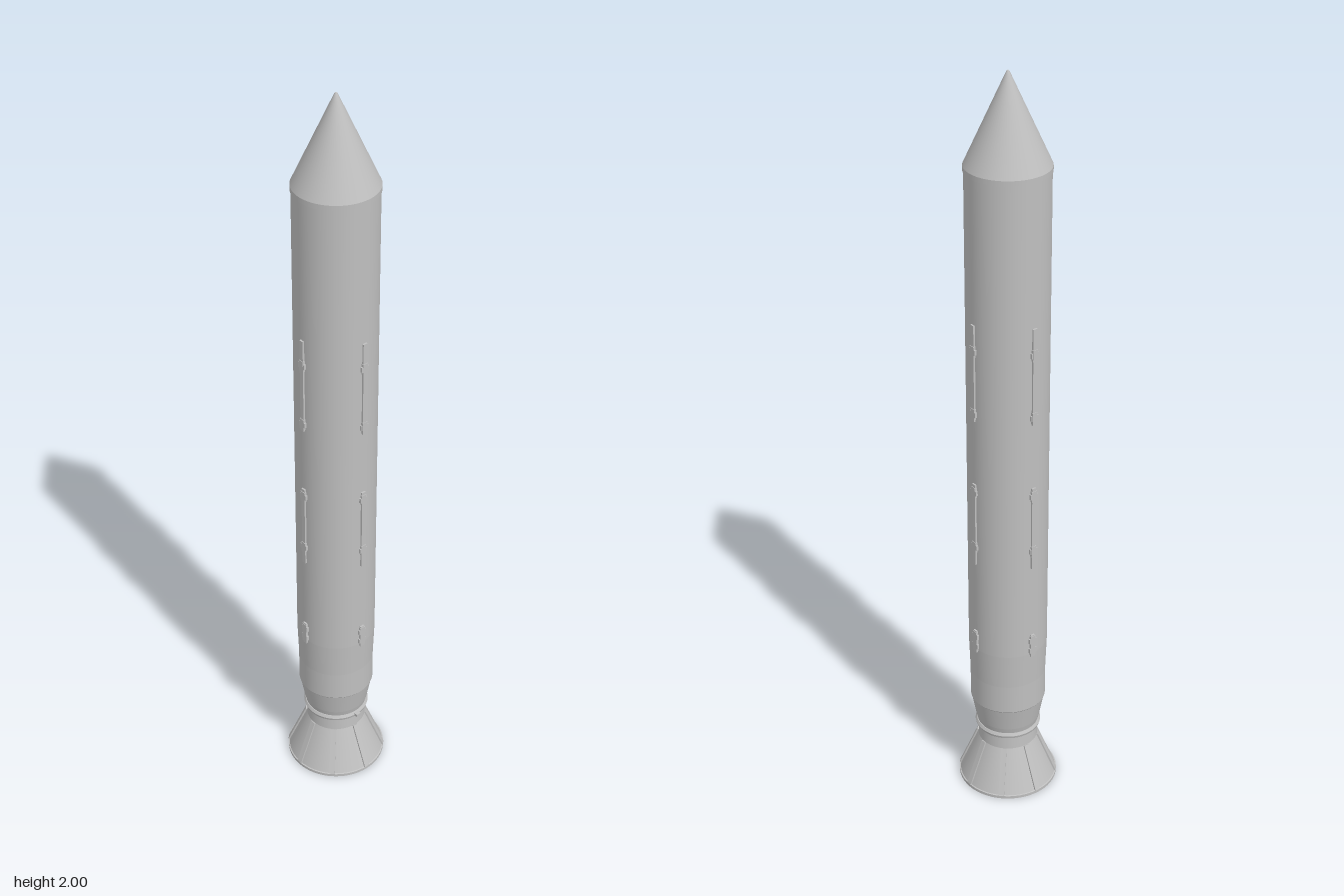
import * as THREE from 'three';
import { mergeGeometries } from 'three/addons/utils/BufferGeometryUtils.js';

export function createModel() {
  const model = new THREE.Group();
  model.name = 'rocket';
  const grey = new THREE.MeshStandardMaterial({ color: 0xbfbfbf });
  grey.name = 'grey metal';

  function add(parent, name, geometry, x = 0, y = 0, z = 0) {
    const mesh = new THREE.Mesh(geometry, grey);
    mesh.name = name;
    mesh.position.set(x, y, z);
    parent.add(mesh);
    return mesh;
  }

  // Turned part with a sharp edge at every profile point
  function turned(name, profile) {
    const bands = [];
    for (let i = 0; i < profile.length - 1; i++) {
      const pair = [profile[i], profile[i + 1]].map(([r, y]) => new THREE.Vector2(r, y));
      bands.push(new THREE.LatheGeometry(pair, 64));
    }
    return add(model, name, mergeGeometries(bands));
  }

  // Hollow engine bell with rim and neck
  turned('engineBell', [
    [0, 0.15], [0.07, 0.15], [0.124, 0], [0.133, 0], [0.133, 0.008],
    [0.13, 0.009], [0.08, 0.13], [0.077, 0.17],
  ]);

  // Clamp ring above the bell, with a small nub on the left
  turned('neckRing', [[0.075, 0.168], [0.086, 0.17], [0.088, 0.177], [0.084, 0.184], [0.075, 0.184]]);
  add(model, 'ringNub', new THREE.BoxGeometry(0.018, 0.008, 0.014), 0.088, 0.178, 0);

  // Tapered tail and long body
  turned('tailSection', [[0.082, 0.184], [0.086, 0.2], [0.098, 0.265], [0.1, 0.265]]);
  turned('body', [[0.098, 0.265], [0.1, 0.268], [0.1, 0.35], [0.1035, 0.45], [0.1035, 1.762]]);

  // Nose cone with a thin overhanging lip and a blunted tip
  turned('noseCone', [
    [0.1, 1.76], [0.1055, 1.762], [0.1055, 1.775], [0.006, 1.992], [0.003, 1.998], [0, 2],
  ]);

  // Eight ribs lying along the bell wall
  const [r0, y0, r1, y1] = [0.131, 0.009, 0.081, 0.13];
  const ribLength = Math.hypot(r0 - r1, y1 - y0);
  for (let i = 0; i < 8; i++) {
    const spoke = new THREE.Group();
    spoke.name = 'bellRib' + (i + 1);
    spoke.rotation.y = i * Math.PI / 4;
    const rib = add(spoke, 'rib', new THREE.BoxGeometry(0.015, ribLength, 0.006),
      0, (y0 + y1) / 2, (r0 + r1) / 2);
    rib.rotation.x = -Math.atan2(r0 - r1, y1 - y0);
    model.add(spoke);
  }

  // Four columns of conduits: bottom, top, clamp heights
  const conduits = [
    [1.135, 1.395, [1.155, 1.325]],
    [0.718, 0.955, [0.77, 0.932]],
    [0.442, 0.51, [0.462, 0.492]],
  ];
  for (let side = 0; side < 4; side++) {
    const column = new THREE.Group();
    column.name = 'conduitColumn' + (side + 1);
    column.rotation.y = side * Math.PI / 2;
    for (const [bottom, top, clamps] of conduits) {
      add(column, 'conduit', new THREE.BoxGeometry(0.012, top - bottom, 0.008),
        0, (bottom + top) / 2, 0.104);
      for (const y of clamps) {
        add(column, 'clamp', new THREE.BoxGeometry(0.022, 0.014, 0.01), 0, y, 0.104);
        add(column, 'clampBlock', new THREE.BoxGeometry(0.015, 0.03, 0.011), 0, y, 0.104);
      }
    }
    model.add(column);
  }

  return model;
}
